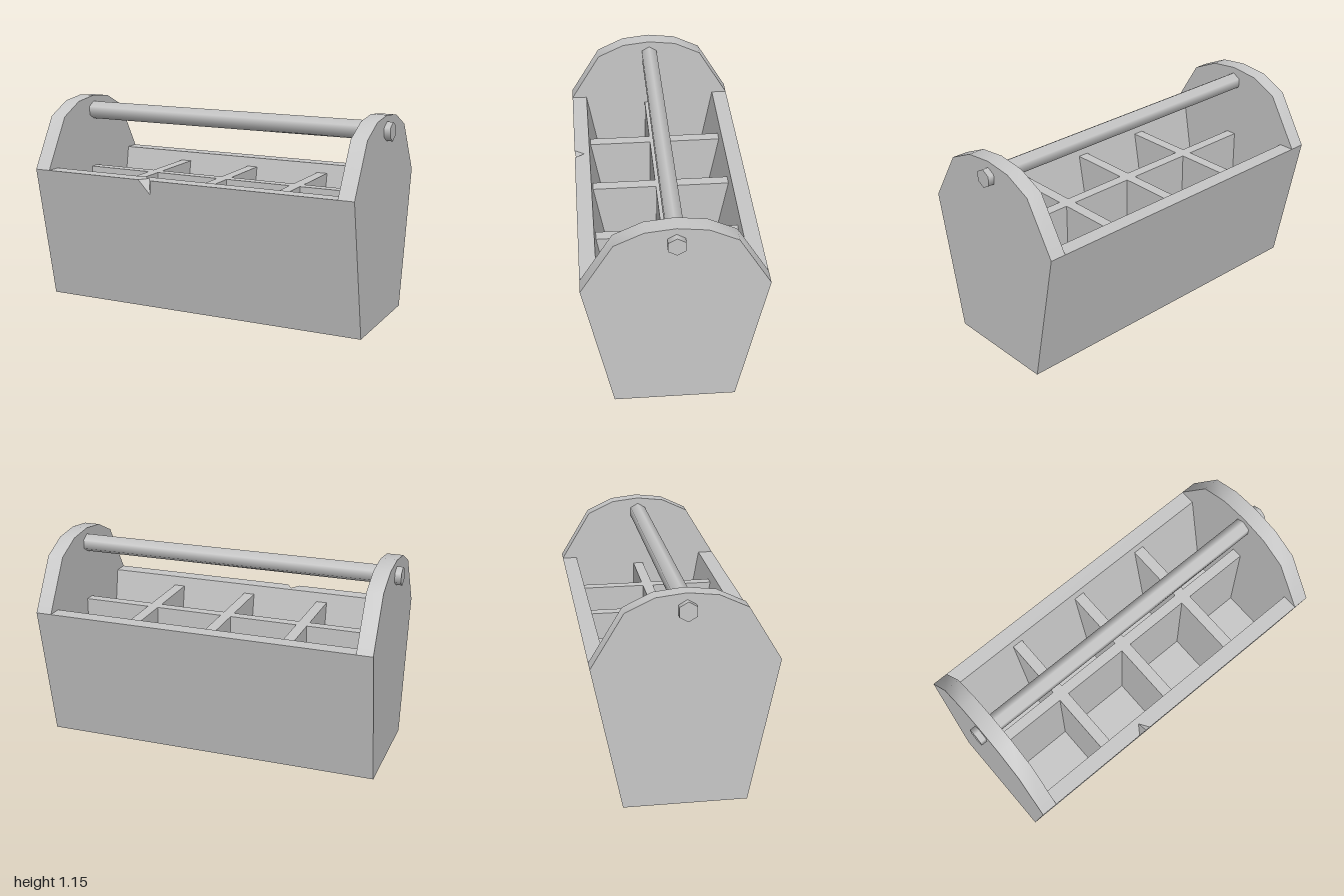
import * as THREE from 'three';
import { toCreasedNormals } from 'three/addons/utils/BufferGeometryUtils.js';

const INNER = 0.875;   // half length between the end panels
const RIM = 0.778;     // height of the long walls
const FLOOR = 0.1;

const grey = new THREE.MeshStandardMaterial({ color: 0xc8c8c8 });
grey.name = 'grey';

function addMesh(parent, geometry, name) {
  const mesh = new THREE.Mesh(geometry, grey);
  mesh.name = name;
  parent.add(mesh);
  return mesh;
}

// Upright slab across the box: mirrored half outline of [z, y], centred at x
function slab(half, x, thickness) {
  const mirrored = half.filter(([z]) => z > 0).reverse().map(([z, y]) => [-z, y]);
  const shape = new THREE.Shape([...half, ...mirrored].map(([z, y]) => new THREE.Vector2(z, y)));
  const g = new THREE.ExtrudeGeometry(shape, { depth: thickness, bevelEnabled: false });
  g.translate(0, 0, -thickness / 2).rotateY(Math.PI / 2).translate(x, 0, 0);
  return toCreasedNormals(g, 0.7);
}

// Trough with sloping walls and a chip out of the front rim
function trayGeometry() {
  const positions = [];
  const fan = (...p) => {
    for (let i = 1; i < p.length - 1; i++) positions.push(...p[0], ...p[i], ...p[i + 1]);
  };
  const left = ([z, y]) => [-INNER, y, z];
  const right = ([z, y]) => [INNER, y, z];

  // Closed cross-section as [z, y]
  const section = [
    [-0.326, 0], [0.326, 0], [0.482, RIM], [0.395, RIM],
    [0.275, FLOOR], [-0.275, FLOOR], [-0.395, RIM], [-0.482, RIM],
  ];
  section.forEach((p, i) => {
    if (i === 1 || i === 2) return; // chipped faces follow below
    const q = section[(i + 1) % section.length];
    fan(left(p), right(p), right(q), left(q));
  });

  // Front wall face, front rim and the two faces of the chip
  const [, bottom, outer, inner] = section;
  const a = [-0.288, RIM, 0.482];
  const b = [-0.215, RIM, 0.482];
  const c = [-0.225, 0.695, 0.4654];
  const d = [-0.25, RIM, 0.427];
  fan(c, a, left(outer), left(bottom), right(bottom), right(outer), b);
  fan(d, b, right(outer), right(inner), left(inner), left(outer), a);
  fan(a, c, d);
  fan(c, b, d);

  const g = new THREE.BufferGeometry();
  g.setAttribute('position', new THREE.Float32BufferAttribute(positions, 3));
  g.computeVertexNormals();
  return g;
}

export function createModel() {
  const model = new THREE.Group();
  model.name = 'toolTote';

  addMesh(model, trayGeometry(), 'tray');

  // End panels
  const endHalf = [[0.326, 0], [0.482, RIM], [0.31, 1.063], [0.158, 1.135], [0, 1.153]];
  for (const side of [-1, 1]) {
    addMesh(model, slab(endHalf, side * 0.92, 0.09), side > 0 ? 'leftEndPanel' : 'rightEndPanel');
  }

  // Dividers
  const dividers = new THREE.Group();
  dividers.name = 'dividers';
  model.add(dividers);
  const top = 0.725;
  for (const x of [-0.452, 0, 0.452]) {
    addMesh(dividers, slab([[0.275, FLOOR], [0.388, top]], x, 0.062), 'crossDivider');
  }
  const long = new THREE.BoxGeometry(INNER * 2, top - FLOOR, 0.06);
  long.translate(0, (top + FLOOR) / 2, 0);
  addMesh(dividers, long, 'longDivider');

  // Six-sided handle bar running through both end panels
  const bar = new THREE.CylinderGeometry(0.052, 0.052, 2, 6, 1, false, Math.PI / 6);
  bar.rotateZ(Math.PI / 2);
  addMesh(model, bar, 'handle').position.y = 1.066;

  return model;
}
